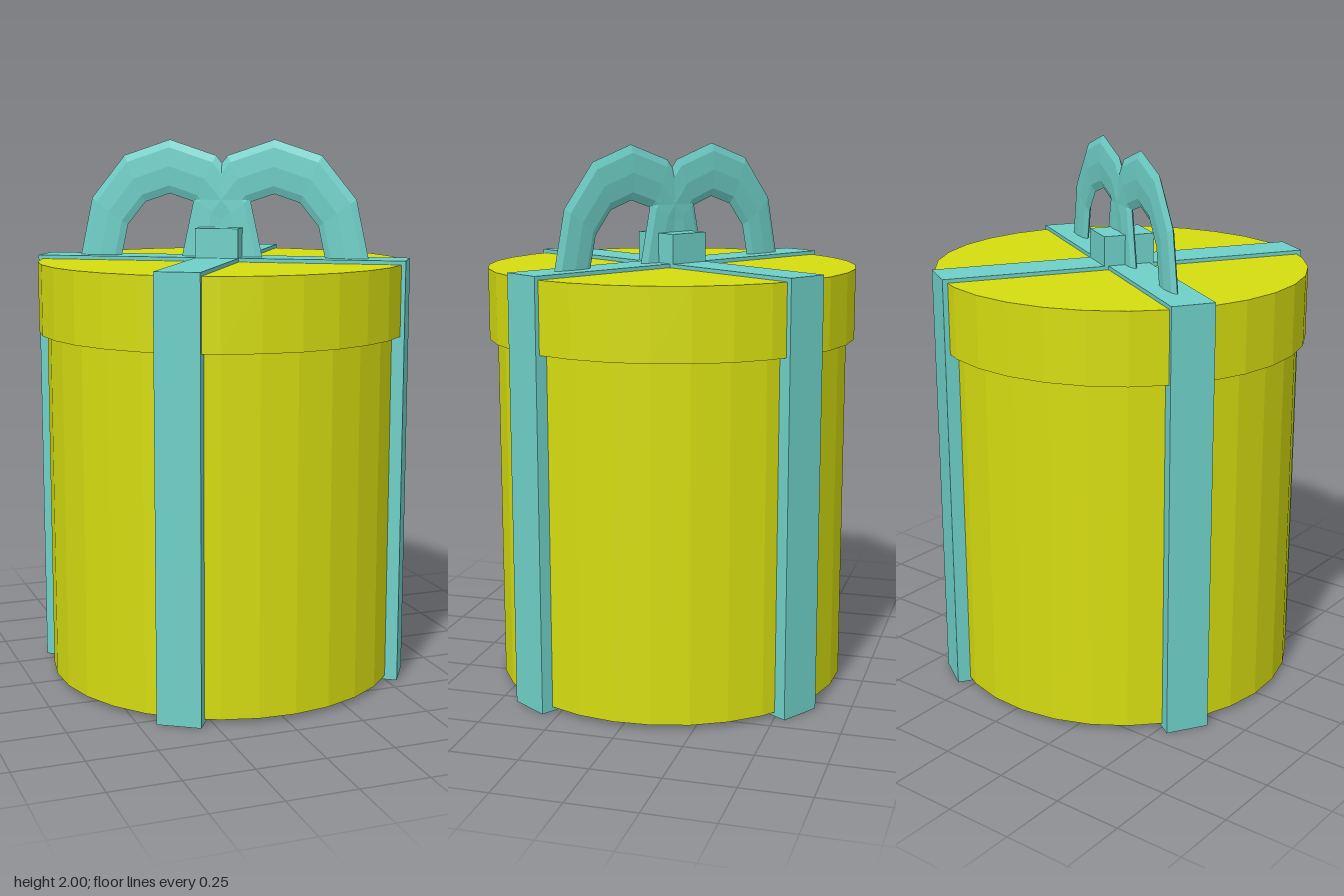
import * as THREE from 'three';

export function createModel() {
  const paper = new THREE.MeshStandardMaterial({ color: 0xd5dc10, flatShading: true });
  paper.name = 'yellow paper';
  const teal = new THREE.MeshStandardMaterial({ color: 0x6fd0c8, flatShading: true });
  teal.name = 'teal ribbon';

  const gift = new THREE.Group();
  gift.name = 'giftBox';
  const add = (name, geometry, material, x, y, z) => {
    const mesh = new THREE.Mesh(geometry, material);
    mesh.name = name;
    mesh.position.set(x, y, z);
    gift.add(mesh);
    return mesh;
  };
  const drum = (radius, y0, y1) => new THREE.CylinderGeometry(radius, radius, y1 - y0, 30).translate(0, (y0 + y1) / 2, 0);

  // Round box with an overhanging lid
  add('body', drum(0.65, 0.015, 1.32), paper, 0, 0, 0);
  add('lid', drum(0.68, 1.3, 1.558), paper, 0, 0, 0);

  // Two crossing ribbons wrapped all the way round
  const top = 1.572;
  add('ribbonLong', new THREE.BoxGeometry(1.38, top, 0.157), teal, 0, top / 2, 0);
  // The cross ribbon is in two halves so the faces do not overlap
  const half = 0.69 - 0.0785;
  for (const s of [-1, 1]) {
    add('ribbonCross', new THREE.BoxGeometry(0.16, top, half), teal, 0, top / 2, s * (0.0785 + half / 2));
  }

  // Knot and two flattened bow loops
  add('knot', new THREE.BoxGeometry(0.16, 0.11, 0.19), teal, 0, top + 0.053, 0);
  for (const s of [-1, 1]) {
    const loop = add('bowLoop', new THREE.TorusGeometry(0.27, 0.08, 8, 6, Math.PI), teal, s * 0.197, top - 0.003, 0);
    loop.scale.set(1, 1.231, 0.22);
  }

  gift.rotation.y = -THREE.MathUtils.degToRad(32.6);
  const model = new THREE.Group();
  model.name = 'gift';
  model.add(gift);
  return model;
}
